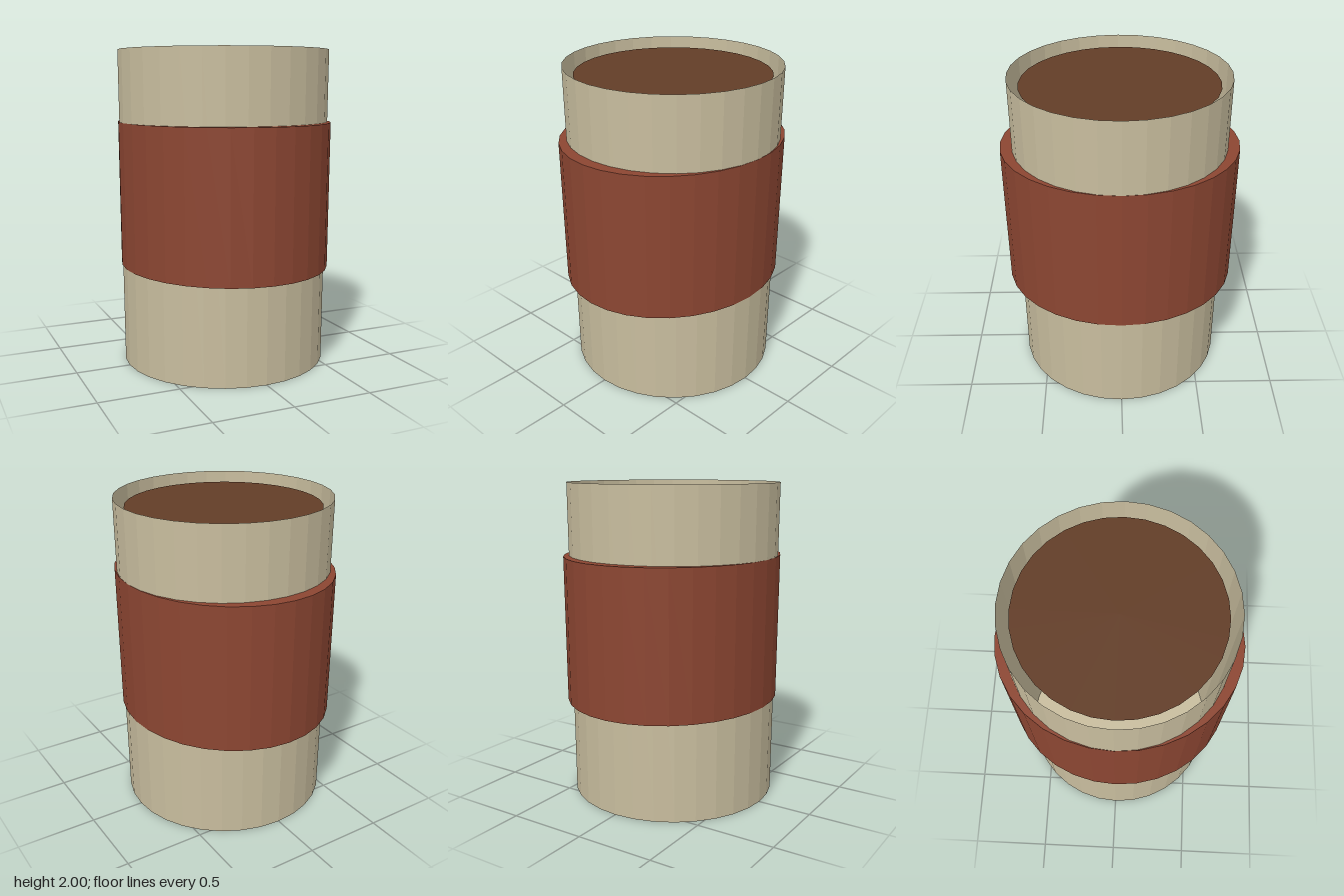
import * as THREE from 'three';

const SIDES = 32;

function lathe(points) {
  return new THREE.LatheGeometry(points.map(([r, y]) => new THREE.Vector2(r, y)), SIDES);
}

function part(name, geometry, color) {
  const material = new THREE.MeshStandardMaterial({ color, flatShading: true, side: THREE.DoubleSide });
  const mesh = new THREE.Mesh(geometry, material);
  mesh.name = name;
  return mesh;
}

export function createModel() {
  const group = new THREE.Group();
  group.name = 'cup';

  // thin, slightly flared wall with a closed floor and an open top
  group.add(part('cupBody', lathe([[0, 0], [0.655, 0], [0.67, 2]]), 0xc8bd9e));

  // sleeve: round where it meets the cup, its outer wall stretched front to back
  const sleeve = lathe([[0.66, 0.63], [0.662, 0.63], [0.668, 1.55], [0.667, 1.55]]);
  const pos = sleeve.attributes.position;
  for (let i = 0; i < pos.count; i++) {
    const outer = i % 4 === 1 || i % 4 === 2;
    if (outer) pos.setZ(i, pos.getZ(i) * 1.11);
  }
  group.add(part('sleeve', sleeve, 0x8c4632));

  // drink surface just below the rim
  const drink = part('drink', new THREE.CircleGeometry(0.605, SIDES).rotateX(-Math.PI / 2), 0x623d27);
  drink.position.y = 1.94;
  group.add(drink);

  return group;
}
